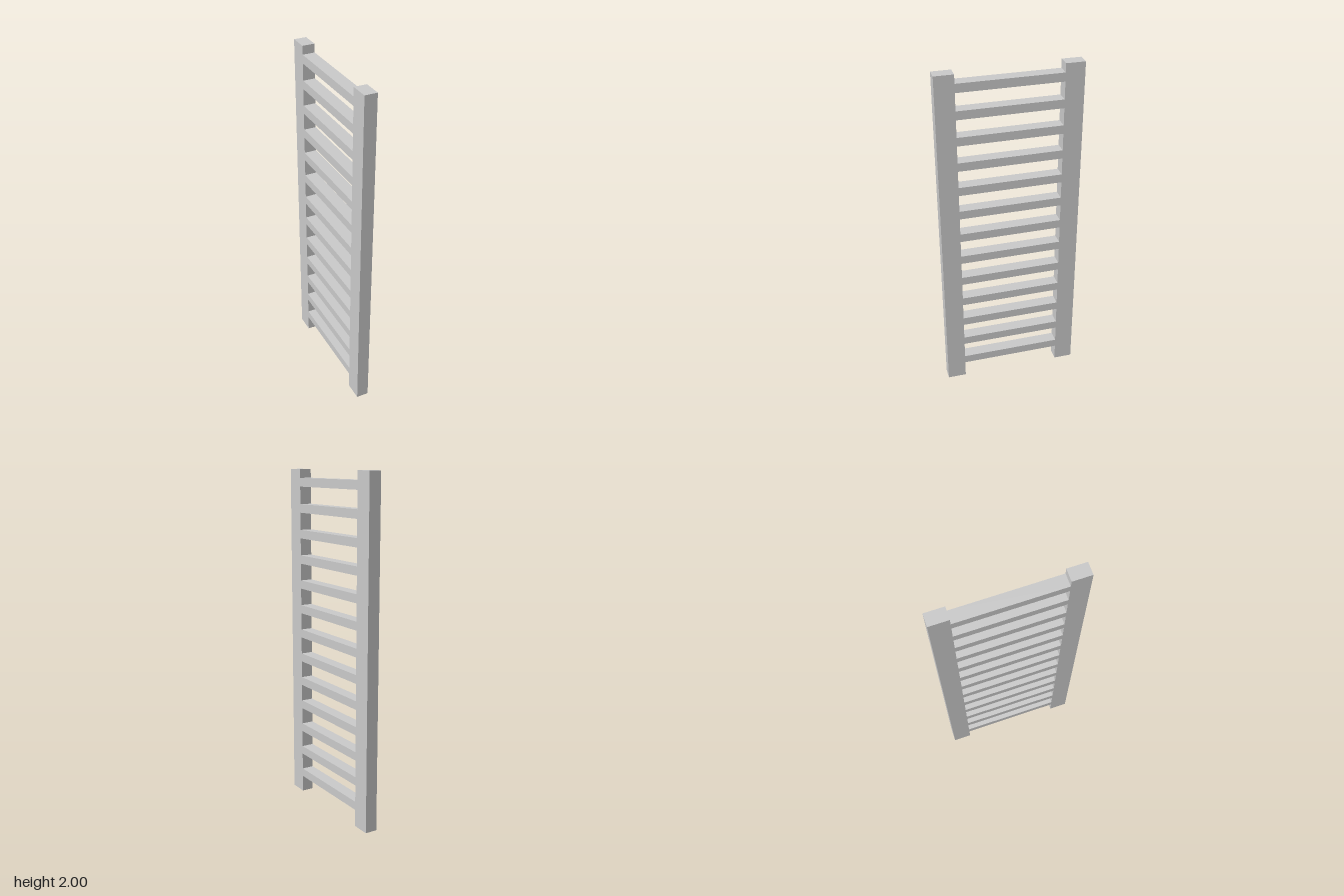
import * as THREE from 'three';

export function createModel() {
  const group = new THREE.Group();
  group.name = 'ladder';
  const material = new THREE.MeshStandardMaterial({ color: 0xcccccc, flatShading: true });

  const height = 2, depth = 0.81, thickness = 0.072, railWidth = 0.109;
  const rungCount = 13, rungHeight = 0.05, rungSpacing = 0.15, firstRungY = 0.125;

  const addBox = (name, sizeY, sizeZ, y, z) => {
    const mesh = new THREE.Mesh(new THREE.BoxGeometry(thickness, sizeY, sizeZ), material);
    mesh.name = name;
    mesh.position.set(0, y, z);
    group.add(mesh);
  };

  // Two upright side rails
  for (const [name, side] of [['frontRail', 1], ['backRail', -1]]) {
    addBox(name, height, railWidth, height / 2, side * (depth - railWidth) / 2);
  }

  // Evenly spaced rungs, flush with the rails
  for (let i = 0; i < rungCount; i++) {
    addBox(`rung${i + 1}`, rungHeight, depth - 2 * railWidth, firstRungY + i * rungSpacing, 0);
  }

  return group;
}
